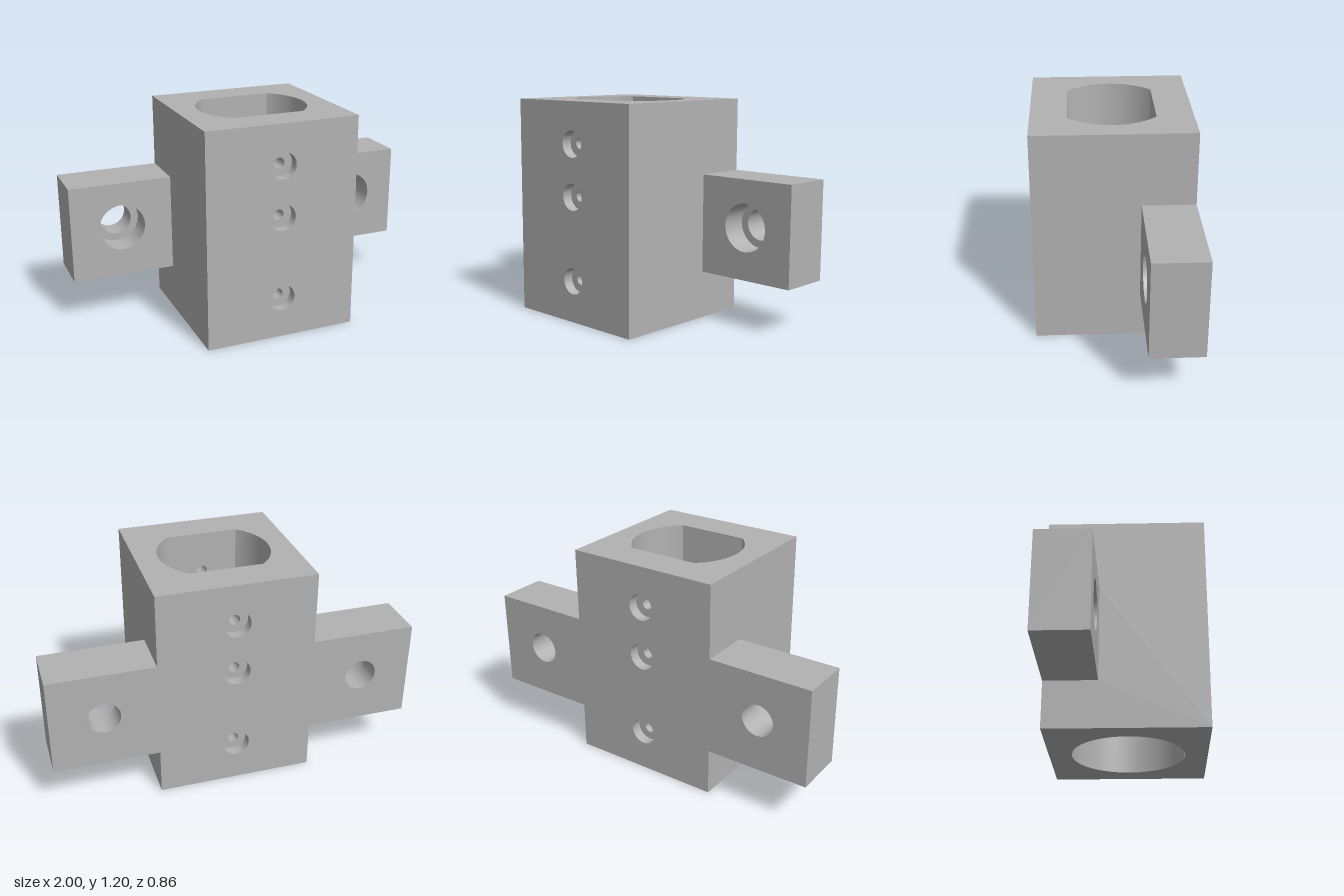
import * as THREE from 'three';
import { mergeGeometries } from 'three/addons/utils/BufferGeometryUtils.js';

const H = 0.428, TOP = 1.2;                      // body half width and height
const W0 = 0.26, W1 = 0.8, WZ = -0.143;          // wing bottom, top and front
const R = 0.305, FLAT = 0.232, STEP = 0.46;      // bore radius, flats and step height
const PIN = 0.029, PIN_BORE = 0.073, PIN_DEPTH = 0.057;
const BOLT = 0.088, BOLT_BORE = 0.13, BOLT_X = 0.714, BOLT_Y = 0.543, BOLT_Z = -0.286;
const PINS = [0.23, 0.69, 0.974];
const HALF = Math.asin(FLAT / R);                // half angle of the round bore sides
const STRIP = 0.16;                              // half angle of the drilled bore strip

const polygon = (pts) => new THREE.Shape(pts.map(([x, y]) => new THREE.Vector2(x, y)));
const rect = (x0, y0, x1, y1) => polygon([[x0, y0], [x1, y0], [x1, y1], [x0, y1]]);
const circle = (x, y, r) => new THREE.Path().absarc(x, y, r, 0, Math.PI * 2, false);

// Flat panel with holes, turned and then moved into place
function panel(shape, holes, pos, rx = 0, ry = 0) {
  shape.holes.push(...holes);
  return new THREE.ShapeGeometry(shape, 24).rotateX(rx).rotateY(ry).translate(...pos);
}

// Surface of revolution, one sharp-edged band per pair of profile points
function bands(profile, start = 0, length = Math.PI * 2, segments = 48) {
  return profile.slice(1).map((p, i) => new THREE.LatheGeometry(
    [profile[i], p].map(([r, y]) => new THREE.Vector2(r, y)), segments, start, length));
}

// Stepped hole running in from z = outer towards z = inner
function steppedHole(x, y, outer, floor, inner, rBig, rSmall) {
  const s = Math.sign(outer - inner);
  const profile = [[rBig, s * outer], [rBig, s * floor], [rSmall, s * floor], [rSmall, s * inner]];
  return bands(profile).map((g) => g.rotateX(s * Math.PI / 2).translate(x, y, 0));
}

// Strip of the round bore wall holding the lower pin hole
function boreStrip(back) {
  const w = R * STRIP;
  const g = panel(rect(-w, 0, w, STEP), [circle(0, PINS[0], PIN)], [0, 0, 0], 0, Math.PI);
  const p = g.attributes.position, n = g.attributes.normal;
  for (let i = 0; i < p.count; i++) {
    const a = p.getX(i) / R;
    p.setXYZ(i, R * Math.sin(a), p.getY(i), R * Math.cos(a));
    n.setXYZ(i, -Math.sin(a), 0, -Math.cos(a));
  }
  return back ? g.rotateY(Math.PI) : g;
}

export function createModel() {
  const group = new THREE.Group();
  const grey = new THREE.MeshStandardMaterial({ color: 0xb2b2b2, side: THREE.DoubleSide });
  grey.name = 'grey';
  const add = (name, geometries) => {
    const mesh = new THREE.Mesh(mergeGeometries(geometries), grey);
    mesh.name = name;
    group.add(mesh);
  };

  // Block: front, top, bottom and the notched sides around the wings
  const pinOpenings = () => PINS.map((y) => circle(0, y, PIN_BORE));
  const flatBore = new THREE.Path()
    .absarc(0, 0, R, -HALF, HALF, false)
    .absarc(0, 0, R, Math.PI - HALF, Math.PI + HALF, false);
  flatBore.closePath();
  const block = [
    panel(rect(-H, 0, H, TOP), pinOpenings(), [0, 0, H]),
    panel(rect(-H, -H, H, H), [flatBore], [0, TOP, 0], -Math.PI / 2),
    panel(rect(-H, -H, H, H), [circle(0, 0, R)], [0, 0, 0], Math.PI / 2),
  ];
  for (const s of [1, -1]) {
    const side = polygon([[-s * H, 0], [s * H, 0], [s * H, W0], [-s * WZ, W0],
      [-s * WZ, W1], [s * H, W1], [s * H, TOP], [-s * H, TOP]]);
    block.push(panel(side, [], [s * H, 0, 0], 0, s * Math.PI / 2));
  }
  add('block', block);

  // Back: one cross-shaped face shared by the block and both wings
  const cross = polygon([[-H, 0], [H, 0], [H, W0], [1, W0], [1, W1], [H, W1],
    [H, TOP], [-H, TOP], [-H, W1], [-1, W1], [-1, W0], [-H, W0]]);
  const bolts = [1, -1].map((s) => circle(s * BOLT_X, BOLT_Y, BOLT));
  add('backFace', [panel(cross, [...pinOpenings(), ...bolts], [0, 0, -H], 0, Math.PI)]);

  // Bore: round below the step, flattened front and back above it
  const bore = [];
  for (const s of [1, -1]) {
    const mid = s * Math.PI / 2;
    const round = Math.PI / 2 - STRIP;
    bore.push(...bands([[R, STEP], [R, 0]], mid - round, 2 * round));
    bore.push(...bands([[R, TOP], [R, STEP]], mid - HALF, 2 * HALF));
    bore.push(boreStrip(s < 0));
    const fx = R * Math.cos(HALF);
    bore.push(panel(rect(-fx, STEP, fx, TOP), PINS.slice(1).map((y) => circle(0, y, PIN)),
      [0, 0, s * FLAT], 0, s > 0 ? Math.PI : 0));
    const ledge = new THREE.Shape().absarc(0, 0, R, mid - Math.PI / 2 + HALF,
      mid + Math.PI / 2 - HALF, false);
    bore.push(panel(ledge, [], [0, STEP, 0], Math.PI / 2));
  }
  add('bore', bore);

  // Pin holes through the front and back walls
  const pins = [];
  for (const s of [1, -1]) {
    PINS.forEach((y) => pins.push(...steppedHole(0, y, s * H, s * (H - PIN_DEPTH),
      s * (y < STEP ? R : FLAT), PIN_BORE, PIN)));
  }
  add('pinHoles', pins);

  // Mounting wings with counterbored bolt holes
  for (const s of [1, -1]) {
    const xs = [s * H, s].sort((a, b) => a - b);
    add(s > 0 ? 'leftWing' : 'rightWing', [
      panel(rect(xs[0], W0, xs[1], W1), [circle(s * BOLT_X, BOLT_Y, BOLT_BORE)], [0, 0, WZ]),
      panel(rect(xs[0], -WZ, xs[1], H), [], [0, W1, 0], -Math.PI / 2),
      panel(rect(xs[0], -H, xs[1], WZ), [], [0, W0, 0], Math.PI / 2),
      panel(s > 0 ? rect(-WZ, W0, H, W1) : rect(-H, W0, WZ, W1), [], [s, 0, 0], 0, s * Math.PI / 2),
      ...steppedHole(s * BOLT_X, BOLT_Y, WZ, BOLT_Z, -H, BOLT_BORE, BOLT),
    ]);
  }
  return group;
}
